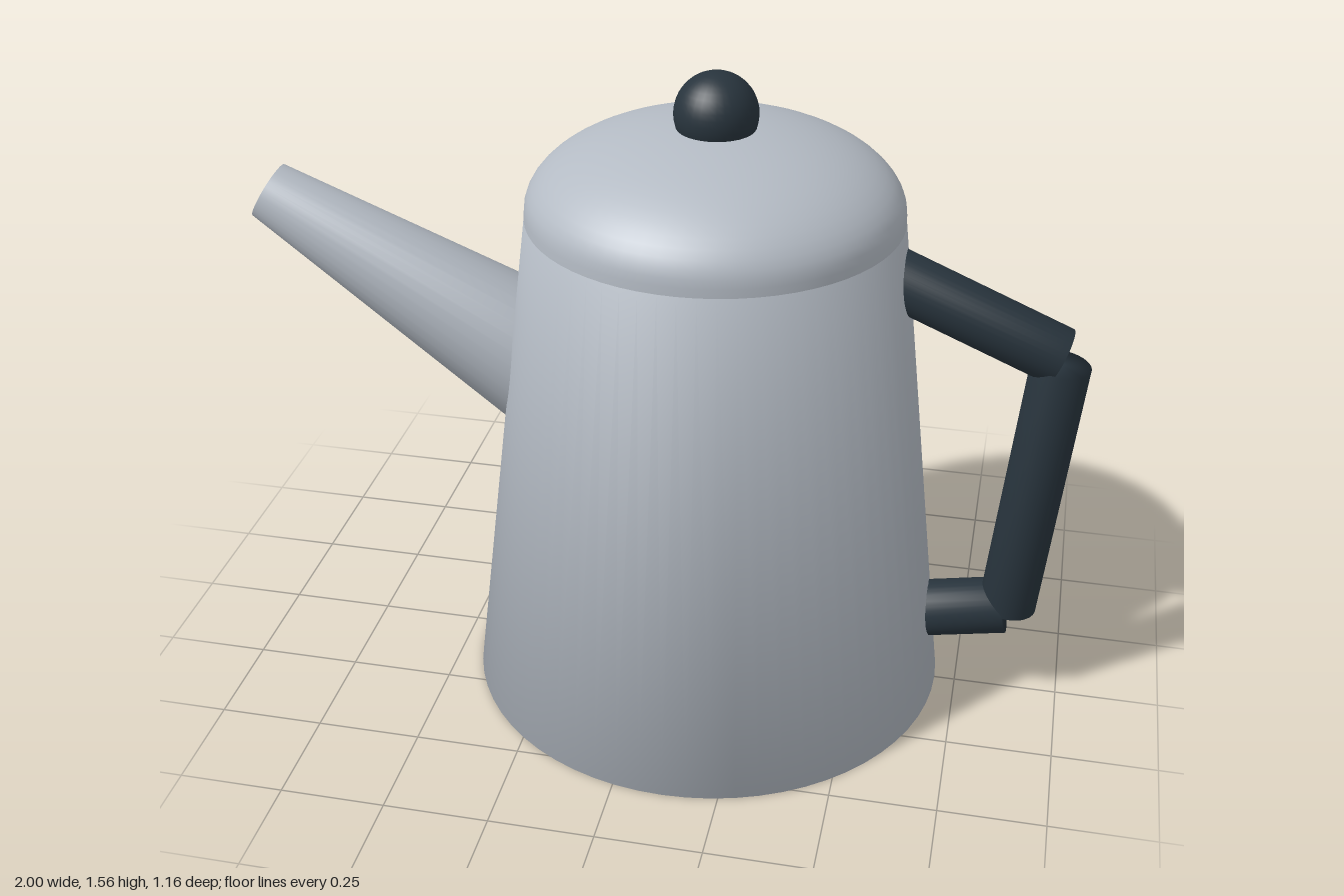
import * as THREE from 'three';

export function createModel() {
  const group = new THREE.Group();
  group.name = 'coffeePot';
  const steel = new THREE.MeshStandardMaterial({ name: 'brushed steel', color: 0xb4bbc4 });
  const grip = new THREE.MeshStandardMaterial({ name: 'dark grip', color: 0x28343d });
  const centreX = 0.12;

  const add = (name, geometry, material) => {
    const mesh = new THREE.Mesh(geometry, material);
    mesh.name = name;
    group.add(mesh);
    return mesh;
  };

  // Turned solid from [radius, height] pairs, bottom to top
  const turned = (pairs, sides) =>
    new THREE.LatheGeometry(pairs.map(([r, y]) => new THREE.Vector2(r, y)), sides);

  // Capped round bar between two points in the plane z = 0
  const bar = (name, from, to, r0, r1, material) => {
    const a = new THREE.Vector3(...from, 0);
    const b = new THREE.Vector3(...to, 0);
    const length = a.distanceTo(b);
    const mesh = add(name, turned([[0, 0], [r0, 0], [r1, length], [0, length]], 32), material);
    mesh.position.copy(a);
    mesh.quaternion.setFromUnitVectors(new THREE.Vector3(0, 1, 0), b.sub(a).normalize());
    return mesh;
  };

  // Tapered body, softly shaded over its rims
  add('body', turned([[0, 0], [0.58, 0], [0.435, 1.22], [0, 1.22]], 64), steel)
    .position.x = centreX;

  // Domed lid
  const dome = [[0.435, 1.22]];
  for (let i = 0; i <= 16; i++) {
    const t = (i / 16) * Math.PI / 2;
    dome.push([Math.max(0, 0.434 * Math.cos(t)), 1.24 + 0.195 * Math.sin(t)]);
  }
  add('lid', turned(dome, 64), steel).position.x = centreX;

  // Ball knob sunk into the lid
  add('lidKnob', new THREE.SphereGeometry(0.096, 32, 20), grip)
    .position.set(centreX, 1.463, 0);

  // Spout, narrowing to its tip
  bar('spout', [-0.269, 0.786], [-0.965, 1.182], 0.17, 0.072, steel);

  // Handle of three straight bars
  bar('handleTop', [0.5, 1.12], [0.922, 0.942], 0.069, 0.069, grip);
  bar('handleGrip', [0.861, 0.249], [0.926, 0.922], 0.069, 0.069, grip);
  bar('handleBottom', [0.62, 0.2], [0.852, 0.245], 0.069, 0.069, grip);

  return group;
}
